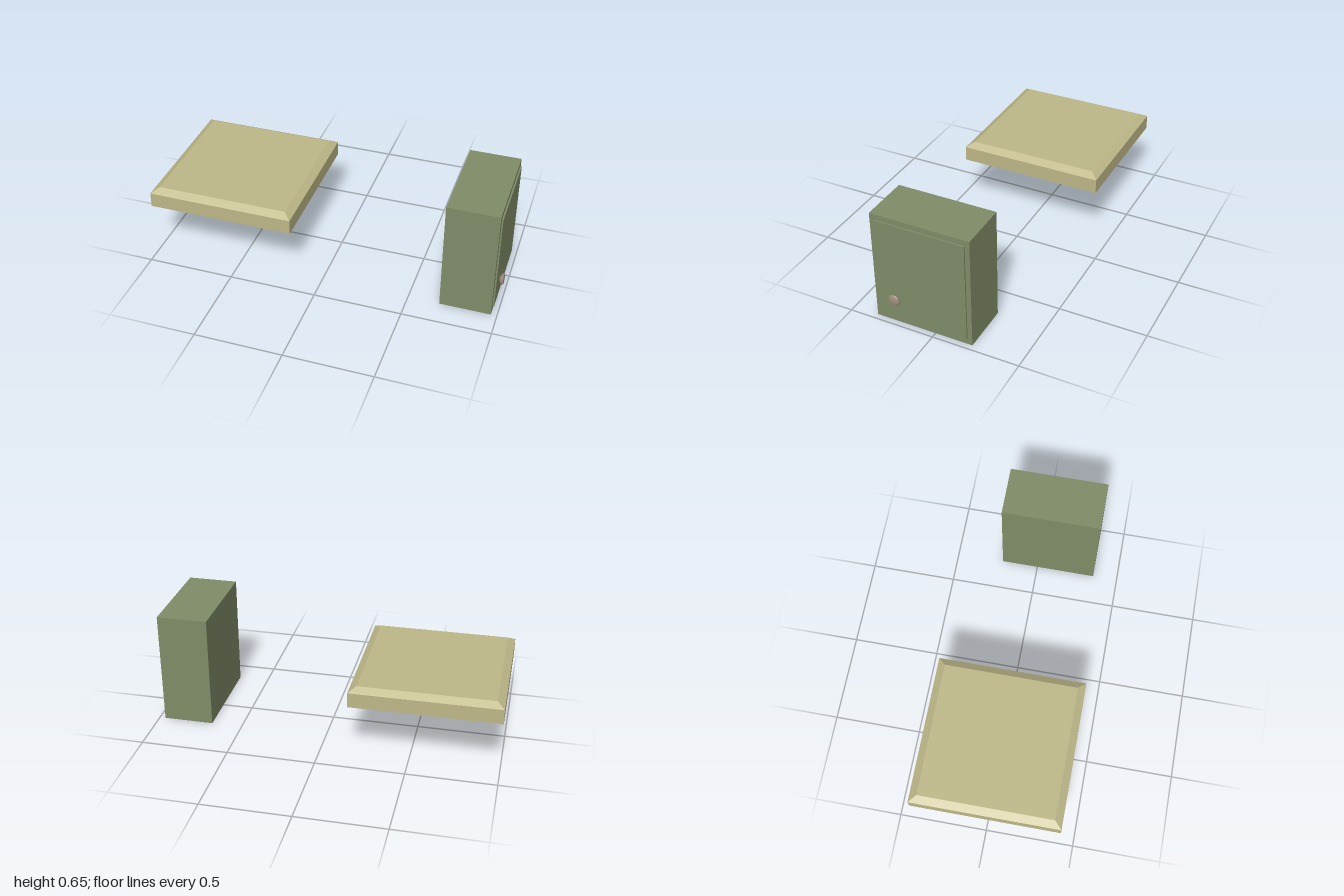
import * as THREE from 'three';

const paint = (color) => new THREE.MeshStandardMaterial({ color });

// Box given by its min and max corners
function box(name, min, max, material) {
  const size = max.map((v, i) => v - min[i]);
  const mesh = new THREE.Mesh(new THREE.BoxGeometry(...size), material);
  mesh.position.set(...max.map((v, i) => (v + min[i]) / 2));
  mesh.name = name;
  return mesh;
}

// Square slab whose upper edge is bevelled inwards
function bevelledSlab(width, depth, sideHeight, height, inset) {
  const geometry = new THREE.BoxGeometry(width, 2, depth, 1, 2, 1);
  const p = geometry.attributes.position;
  for (let i = 0; i < p.count; i++) {
    const level = Math.round(p.getY(i)) + 1; // 0 bottom, 1 shoulder, 2 top
    p.setY(i, [0, sideHeight, height][level]);
    if (level === 2) {
      p.setX(i, p.getX(i) - Math.sign(p.getX(i)) * inset);
      p.setZ(i, p.getZ(i) - Math.sign(p.getZ(i)) * inset);
    }
  }
  const flat = geometry.toNonIndexed();
  flat.computeVertexNormals();
  return flat;
}

export function createModel() {
  const model = new THREE.Group();
  model.name = 'cabinetAndSlab';
  const green = paint(0x808c68);

  // Bevelled slab
  const slab = new THREE.Mesh(bevelledSlab(0.836, 0.84, 0.086, 0.112, 0.042), paint(0xbeb888));
  slab.name = 'bevelledSlab';
  slab.position.set(-0.582, 0.33, 0);
  model.add(slab);

  // Cabinet with a thin raised door on its +x side
  const cabinet = new THREE.Group();
  cabinet.name = 'cabinet';
  cabinet.add(box('cabinetBody', [0.678, 0, -0.218], [0.966, 0.655, 0.353], green));
  cabinet.add(box('cabinetDoor', [0.96, 0.036, -0.191], [0.975, 0.623, 0.326], green));

  // Round knob: narrow stem, wide rim, slightly smaller flat face
  const profile = [
    [0, 0], [0.018, 0], [0.018, 0.006], [0.033, 0.011],
    [0.033, 0.018], [0.025, 0.025], [0, 0.025],
  ].map(([r, h]) => new THREE.Vector2(r, h));
  const knob = new THREE.Mesh(new THREE.LatheGeometry(profile, 32), paint(0xa09080));
  knob.name = 'doorKnob';
  knob.rotation.z = -Math.PI / 2;
  knob.position.set(0.975, 0.157, 0.227);
  cabinet.add(knob);
  model.add(cabinet);

  return model;
}
